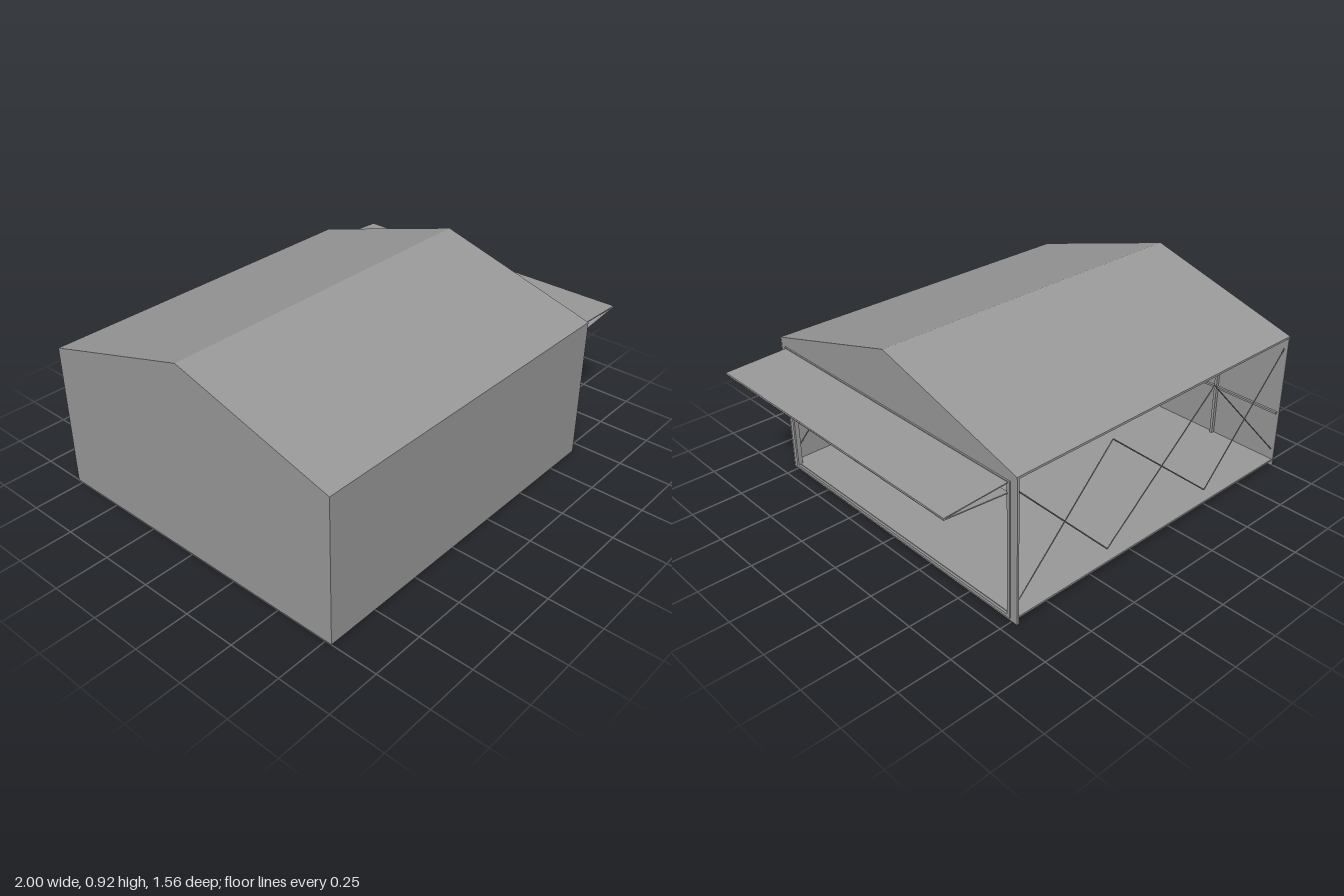
import * as THREE from 'three';

export function createModel() {
  const model = new THREE.Group();
  const grey = new THREE.MeshStandardMaterial({ color: 0x999999 });
  grey.name = 'plain grey';

  const X0 = -1, X1 = 0.69, Z = 0.78, EAVE = 0.69, RIDGE = 0.917;
  const LEN = X1 - X0, MID = (X0 + X1) / 2;

  function add(name, geometry, x = 0, y = 0, z = 0) {
    const mesh = new THREE.Mesh(geometry, grey);
    mesh.name = name;
    mesh.position.set(x, y, z);
    model.add(mesh);
    return mesh;
  }
  const box = (name, w, h, d, x, y, z) => add(name, new THREE.BoxGeometry(w, h, d), x, y, z);

  // Extrudes an outline drawn across the building along x
  function extrudeX(name, shape, x, depth) {
    const geometry = new THREE.ExtrudeGeometry(shape, { depth, bevelEnabled: false });
    geometry.rotateY(Math.PI / 2);
    return add(name, geometry, x);
  }
  const outline = (points) => new THREE.Shape(points.map(([a, b]) => new THREE.Vector2(a, b)));

  // Thin square rod between two points
  function rod(name, a, b, r = 0.003) {
    const from = new THREE.Vector3(...a), to = new THREE.Vector3(...b);
    const mesh = add(name, new THREE.CylinderGeometry(r, r, from.distanceTo(to), 4));
    mesh.position.copy(from).lerp(to, 0.5);
    mesh.quaternion.setFromUnitVectors(new THREE.Vector3(0, 1, 0), to.sub(from).normalize());
  }

  // Floor slab, raised slightly above the bottom of the walls
  box('floor', LEN - 0.01, 0.008, 2 * Z - 0.01, MID, 0.03, 0);

  // One long wall; the opposite long side is open
  box('longWall', LEN, EAVE - 0.003, 0.006, MID, (EAVE - 0.003) / 2, Z - 0.003);

  // Gable walls, one solid and one with the door opening
  const gable = [[-Z, 0], [Z, 0], [Z, EAVE - 0.004], [0, RIDGE - 0.004], [-Z, EAVE - 0.004]];
  extrudeX('rearGable', outline(gable), X0, 0.006);
  const doorGable = outline(gable);
  doorGable.holes.push(new THREE.Path([
    [-0.73, 0.03], [-0.73, 0.64], [0.73, 0.64], [0.73, 0.03],
  ].map(([a, b]) => new THREE.Vector2(a, b))));
  extrudeX('doorGable', doorGable, X1 - 0.012, 0.01);

  // Pitched roof
  extrudeX('roof', outline([
    [-Z, EAVE], [-Z, EAVE - 0.01], [0, RIDGE - 0.01], [Z, EAVE - 0.01], [Z, EAVE], [0, RIDGE],
  ]), X0, LEN);

  // Frame around the door opening
  for (const s of [-1, 1]) box('doorJamb', 0.022, 0.64, 0.014, X1 - 0.006, 0.335, s * 0.737);
  box('doorHeader', 0.022, 0.014, 1.488, X1 - 0.006, 0.647, 0);
  box('doorSill', 0.022, 0.015, 1.46, X1 - 0.006, 0.0225, 0);

  // Folding door, opened into two hinged panels
  function doorPanel(name, yInner, yOuter) {
    const run = 0.998 - X1, rise = yOuter - yInner;
    const panel = box(name, Math.hypot(run, rise), 0.005, 1.47, X1 + run / 2, (yInner + yOuter) / 2, 0);
    panel.rotation.z = Math.atan2(rise, run);
  }
  doorPanel('upperDoorPanel', 0.648, 0.635);
  doorPanel('lowerDoorPanel', 0.602, 0.63);
  const hinge = add('doorHinge', new THREE.CylinderGeometry(0.005, 0.005, 1.47, 8), 0.995, 0.633, 0);
  hinge.rotation.x = Math.PI / 2;

  // Posts and rails inside the rear gable
  for (const z of [-0.42, 0, 0.42]) box('rearPost', 0.016, 0.595, 0.014, X0 + 0.014, 0.3, z);
  box('rearRail', 0.012, 0.01, 1.54, X0 + 0.012, 0.29, 0);
  box('rearLintel', 0.012, 0.01, 0.84, X0 + 0.012, 0.58, 0);

  // Crossed zigzag bracing along both long sides
  const nodes = [X1 - 0.01, 0.16, -0.48, X0 + 0.01];
  for (const z of [-0.765, 0.765]) {
    for (let i = 0; i < 3; i++) {
      const [low, high] = [0.09, 0.625];
      rod('brace', [nodes[i], low, z], [nodes[i + 1], high, z]);
      rod('brace', [nodes[i], high, z], [nodes[i + 1], low, z]);
    }
  }

  // Lamps hanging below the ridge
  for (const x of [0.2, -0.5]) {
    box('hangingLamp', 0.15, 0.015, 0.04, x, 0.745, 0);
    for (const s of [-1, 1]) rod('lampCord', [x + s * 0.055, 0.75, 0], [x + s * 0.055, RIDGE - 0.01, 0], 0.002);
  }

  return model;
}
